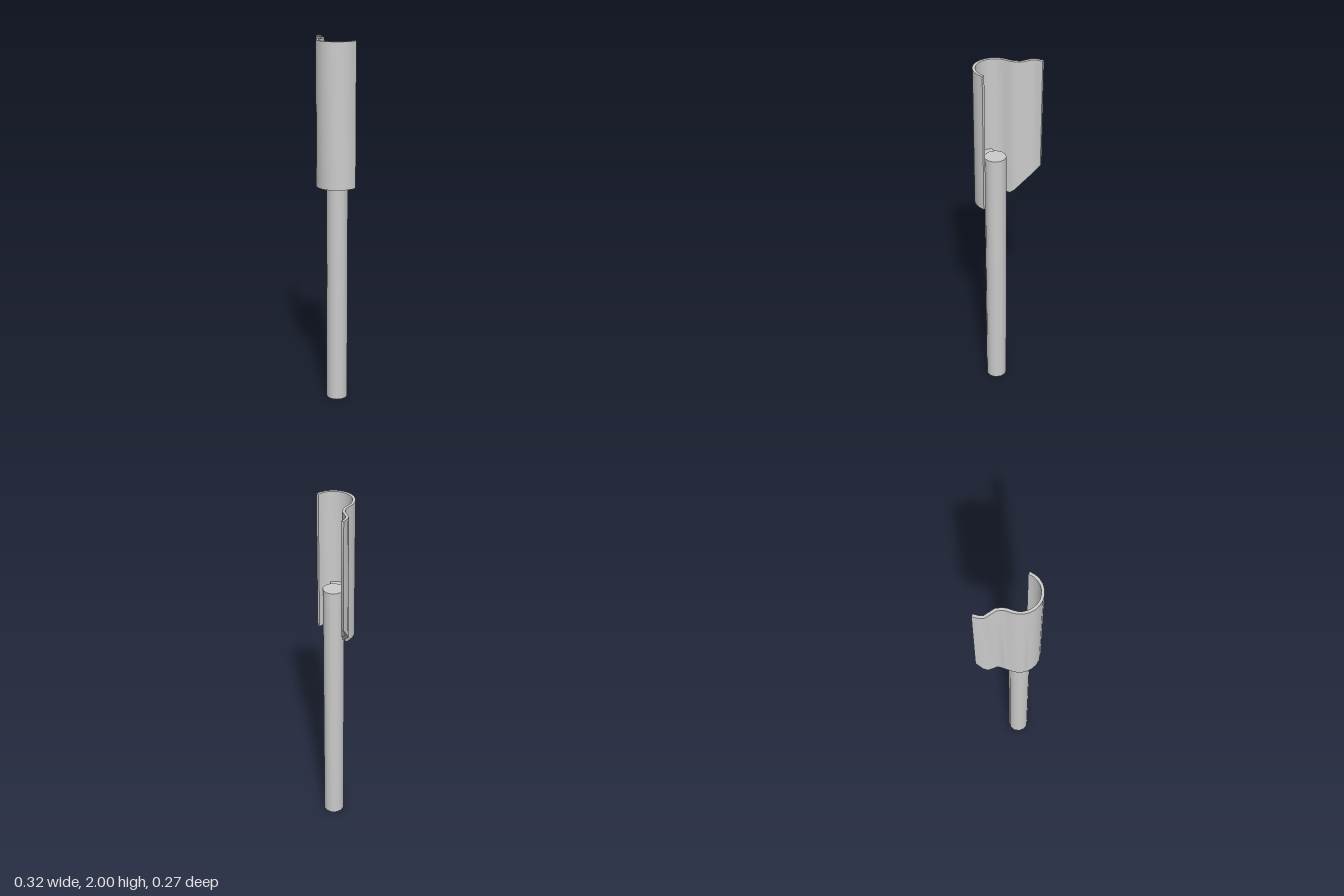
import * as THREE from 'three';
import { toCreasedNormals } from 'three/addons/utils/BufferGeometryUtils.js';

const CX = 0.046, CZ = 0.02; // axis shared by the rod and the curved sheet

// points on an arc around the axis, angles in degrees from +x towards +z
function arc(r, from, to, n) {
  const pts = [];
  for (let i = 0; i <= n; i++) {
    const a = THREE.MathUtils.degToRad(from + (to - from) * i / n);
    pts.push(new THREE.Vector2(CX + r * Math.cos(a), CZ + r * Math.sin(a)));
  }
  return pts;
}

// upright prism from a plan outline of (x, z) points
function prism(outline, y0, y1) {
  const shape = new THREE.Shape(outline.map(p => new THREE.Vector2(p.x, -p.y)));
  const geo = new THREE.ExtrudeGeometry(shape, { depth: y1 - y0, bevelEnabled: false });
  return geo.rotateX(-Math.PI / 2).translate(0, y0, 0);
}

// closed outline of a strip of even thickness around a centre line
function strip(path, thickness) {
  const side = sign => path.map((p, i) => {
    const a = path[Math.max(i - 1, 0)], b = path[Math.min(i + 1, path.length - 1)];
    const t = b.clone().sub(a).normalize();
    return new THREE.Vector2(p.x - t.y * sign * thickness / 2, p.y + t.x * sign * thickness / 2);
  });
  return [...side(1), ...side(-1).reverse()];
}

export function createModel() {
  const group = new THREE.Group();
  const material = new THREE.MeshStandardMaterial({ color: 0xcccccc });
  const add = (name, geo) => {
    const mesh = new THREE.Mesh(geo, material);
    mesh.name = name;
    group.add(mesh);
  };

  // straight rod
  const rodHeight = 1.49;
  add('rod', new THREE.CylinderGeometry(0.058, 0.058, rodHeight, 12).translate(CX, rodHeight / 2, CZ));

  // curved sheet: half round channel running into an S-shaped flange
  const flange = [[-0.061, 0], [-0.067, -0.022], [-0.083, -0.048], [-0.137, -0.08], [-0.148, -0.1], [-0.153, -0.135]]
    .map(([x, z]) => new THREE.Vector2(x, z));
  const sheet = prism(strip([...arc(0.1055, -2, 178, 12), ...flange], 0.015), 1.22, 2);

  // slanted lower edge of the flange
  const pos = sheet.attributes.position;
  for (let i = 0; i < pos.count; i++) {
    if (pos.getY(i) < 1.3) pos.setY(i, 1.22 + Math.max(0, -0.012 - pos.getZ(i)) * 1.38);
  }
  add('curvedSheet', toCreasedNormals(sheet, 0.7));

  // short web joining the rod to the sheet
  const web = prism([...arc(0.055, 30, 146, 6), ...arc(0.1, 134, 39, 6)], 1.44, 1.48);
  add('joiningWeb', toCreasedNormals(web, 0.6));

  return group;
}
